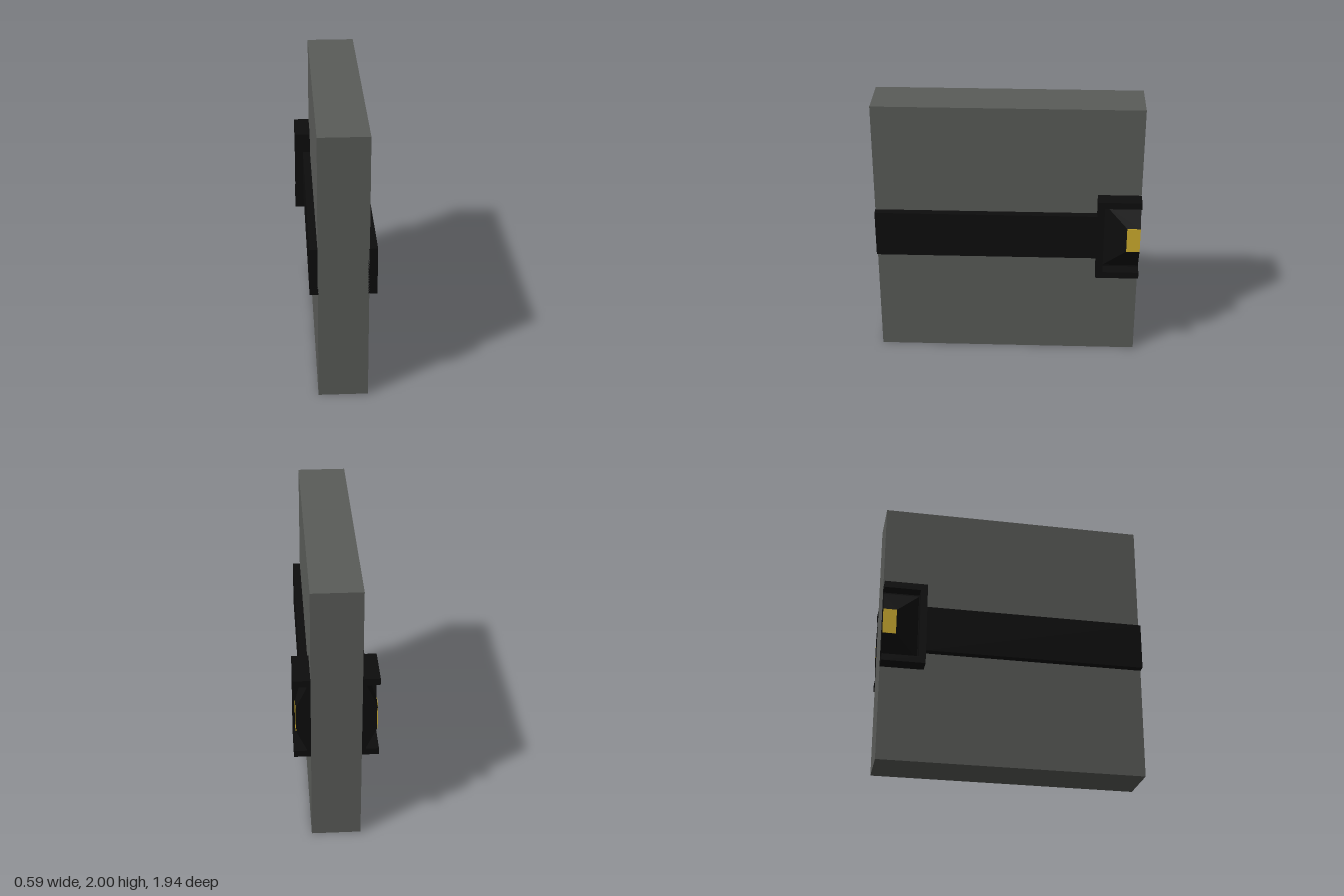
import * as THREE from 'three';

const grey = new THREE.MeshStandardMaterial({ name: 'slabGrey', color: 0x5a5c59 });
const black = new THREE.MeshStandardMaterial({ name: 'trimBlack', color: 0x0d0d0d });
const yellow = new THREE.MeshStandardMaterial({ name: 'markerYellow', color: 0xcfae2e });

const BACK = -0.968, FRONT = 0.972, MID = 1.015;

// Box given by its extents on each axis
function box(name, material, [x0, x1], [y0, y1], [z0, z1]) {
  const g = new THREE.BoxGeometry(Math.abs(x1 - x0), y1 - y0, z1 - z0);
  const mesh = new THREE.Mesh(g, material);
  mesh.name = name;
  mesh.position.set((x0 + x1) / 2, (y0 + y1) / 2, (z0 + z1) / 2);
  return mesh;
}

// Raised block whose outer face shrinks to the marker size; flush at the back edge
function taperedBlock(side) {
  const inner = 0.205, outer = 0.28;
  const g = new THREE.BoxGeometry(1, 1, 1);
  const p = g.attributes.position;
  for (let i = 0; i < p.count; i++) {
    const isOuter = p.getX(i) * side > 0;
    const halfY = isOuter ? 0.095 : 0.255;
    const frontZ = isOuter ? -0.87 : -0.705;
    p.setXYZ(i, side * (isOuter ? outer : inner),
      MID + Math.sign(p.getY(i)) * halfY,
      p.getZ(i) > 0 ? frontZ : BACK);
  }
  g.computeVertexNormals();
  const mesh = new THREE.Mesh(g, black);
  mesh.name = 'taperedBlock';
  return mesh;
}

// Bar, three-sided bracket and marker for one face of the slab
function latch(side) {
  const group = new THREE.Group();
  group.name = side > 0 ? 'leftLatch' : 'rightLatch';
  const span = (a, b) => [side * a, side * b];
  const low = 0.70, high = 1.33, wall = 0.05, edge = -0.652;
  const deep = span(0.17, 0.296);
  group.add(
    box('crossBar', black, span(0.17, 0.233), [0.83, 1.18], [edge, FRONT]),
    box('bracketTop', black, deep, [high - wall, high], [BACK, edge]),
    box('bracketBottom', black, deep, [low, low + wall], [BACK, edge]),
    box('bracketSide', black, deep, [low + wall, high - wall], [edge - wall, edge]),
    box('bracketFloor', black, span(0.17, 0.205), [low + wall, high - wall], [BACK, edge - wall]),
    taperedBlock(side),
    box('marker', yellow, span(0.277, 0.283), [MID - 0.095, MID + 0.095], [BACK, -0.87])
  );
  return group;
}

export function createModel() {
  const model = new THREE.Group();
  model.name = 'doorPanel';
  model.add(box('slab', grey, [-0.177, 0.177], [0, 2], [BACK, FRONT]));
  for (const side of [1, -1]) model.add(latch(side));
  return model;
}
